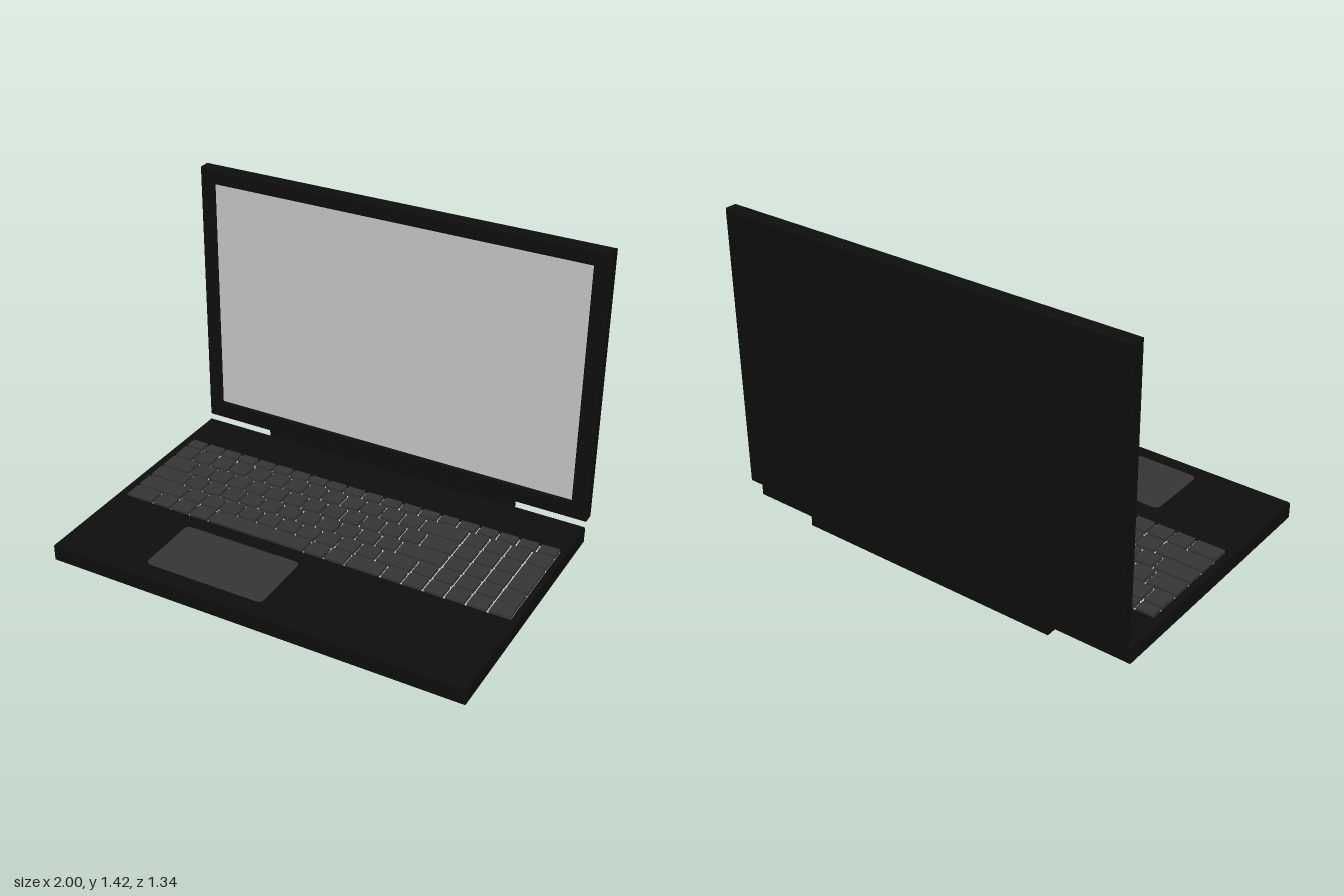
import * as THREE from 'three';

const mat = (name, color) => {
  const m = new THREE.MeshStandardMaterial({ color });
  m.name = name;
  return m;
};

// Rectangle as a shape or hole, with optional corner radius
function rect(x0, x1, y0, y1, r = 0, Type = THREE.Shape) {
  const s = new Type();
  if (!r) {
    s.moveTo(x0, y0).lineTo(x1, y0).lineTo(x1, y1).lineTo(x0, y1).closePath();
    return s;
  }
  s.moveTo(x0 + r, y0).lineTo(x1 - r, y0).quadraticCurveTo(x1, y0, x1, y0 + r);
  s.lineTo(x1, y1 - r).quadraticCurveTo(x1, y1, x1 - r, y1);
  s.lineTo(x0 + r, y1).quadraticCurveTo(x0, y1, x0, y1 - r);
  s.lineTo(x0, y0 + r).quadraticCurveTo(x0, y0, x0 + r, y0);
  return s;
}

// Slab with chamfered edges and a rectangular opening; spans 0..depth along z
function frame(outer, hole, depth, bevel) {
  const shape = rect(...outer);
  shape.holes.push(rect(...hole, 0, THREE.Path));
  const geo = new THREE.ExtrudeGeometry(shape, {
    depth: depth - 2 * bevel, bevelEnabled: true, bevelThickness: bevel,
    bevelSize: bevel, bevelOffset: -bevel, bevelSegments: 1,
  });
  return geo.translate(0, 0, bevel);
}

export function createModel() {
  const body = mat('black casing', 0x0e0e0e);
  const keyGrey = mat('dark grey keys', 0x363636);
  const light = mat('light grey panel', 0xcacaca);
  const model = new THREE.Group();
  model.name = 'laptop';

  const add = (parent, name, geo, material) => {
    const m = new THREE.Mesh(geo, material);
    m.name = name;
    parent.add(m);
    return m;
  };
  // Box given by its limits on each axis
  const box = (parent, name, material, x0, x1, y0, y1, z0, z1) => {
    const m = add(parent, name, new THREE.BoxGeometry(x1 - x0, y1 - y0, z1 - z0), material);
    m.position.set((x0 + x1) / 2, (y0 + y1) / 2, (z0 + z1) / 2);
    return m;
  };
  const group = (name) => {
    const g = new THREE.Group();
    g.name = name;
    model.add(g);
    return g;
  };

  // Base with a sunken keyboard well
  const base = group('base');
  const L = -0.965, R = 0.967, back = -0.39, front = 0.18, top = 0.09;
  const baseGeo = frame([-1, 0.993, -0.668, 0.604], [L, R, -front, -back], top, 0.008);
  add(base, 'baseCase', baseGeo.rotateX(-Math.PI / 2), body);
  box(base, 'baseFloor', body, L - 0.01, R + 0.01, 0, 0.066, back - 0.01, front + 0.01);
  box(base, 'keyboardBacking', light, L, R, 0.066, 0.07, back, front);

  // Trackpad
  const pad = new THREE.ExtrudeGeometry(rect(-0.565, 0.02, -0.59, -0.265, 0.03),
    { depth: 0.006, bevelEnabled: false });
  add(base, 'trackpad', pad.rotateX(-Math.PI / 2), keyGrey).position.y = top - 0.004;

  // Side port and round socket
  box(base, 'sidePort', body, 0.98, 1, 0.055, 0.083, 0.22, 0.275);
  const socket = add(base, 'powerSocket', new THREE.CylinderGeometry(0.022, 0.022, 0.004, 20), body);
  socket.rotation.z = Math.PI / 2;
  socket.position.set(0.993, 0.048, -0.55);

  // Keys: each row lists key widths in units
  const keys = group('keyboard');
  const unit = 0.1008, padUnit = 0.0996, padX = 0.56, gap = 0.014;
  const ones = (n) => Array(n).fill(1);
  const key = (x0, x1, z0, z1) =>
    box(keys, 'key', keyGrey, x0 + gap / 2, x1 - gap / 2, 0.07, 0.0885, z0 + gap / 2, z1 - gap / 2);
  const rowZ = [back, -0.322, -0.219, -0.114, -0.015, 0.083, front];
  const rows = [
    [...ones(13), 2.12],
    [1.55, ...ones(12), 1.57],
    [1.86, ...ones(11), 2.26],
    [2.39, ...ones(10), 1.73, 1],
    [1.43, 1, 1, 1, 4.94, 1, 1, 1.75, 1, 1],
  ];
  for (let i = 0; i < 20; i++) {
    const w = (R - L) / 20;
    key(L + i * w, L + (i + 1) * w, rowZ[0], rowZ[1]);
  }
  rows.forEach((widths, r) => {
    let x = L;
    for (const w of widths) {
      key(x, x + w * unit, rowZ[r + 1], rowZ[r + 2]);
      x += w * unit;
    }
    // Number pad columns
    for (let c = 0; c < 3; c++) {
      key(padX + c * padUnit, padX + (c + 1) * padUnit, rowZ[r + 1], rowZ[r + 2]);
    }
  });
  // Last pad column: one normal key and two tall ones
  const lastX = padX + 3 * padUnit;
  key(lastX, R, rowZ[1], rowZ[2]);
  key(lastX, R, rowZ[2], rowZ[4]);
  key(lastX, R, rowZ[4], rowZ[6]);

  // Lid with a recessed screen
  const lid = group('lid');
  const hole = [-0.928, 0.917, 0.2, 1.35];
  const bezel = frame([-1, 0.993, 0.112, 1.422], hole, 0.066, 0.006);
  add(lid, 'lidBezel', bezel, body).position.z = -0.668;
  box(lid, 'lidBack', body, -0.94, 0.93, 0.19, 1.36, -0.668, -0.62);
  box(lid, 'screen', light, hole[0], hole[1], hole[2], hole[3], -0.62, -0.615);

  // Hinge bar joining lid and base
  box(model, 'hinge', body, -0.648, 0.632, 0.015, 0.125, -0.66, -0.595);
  return model;
}
